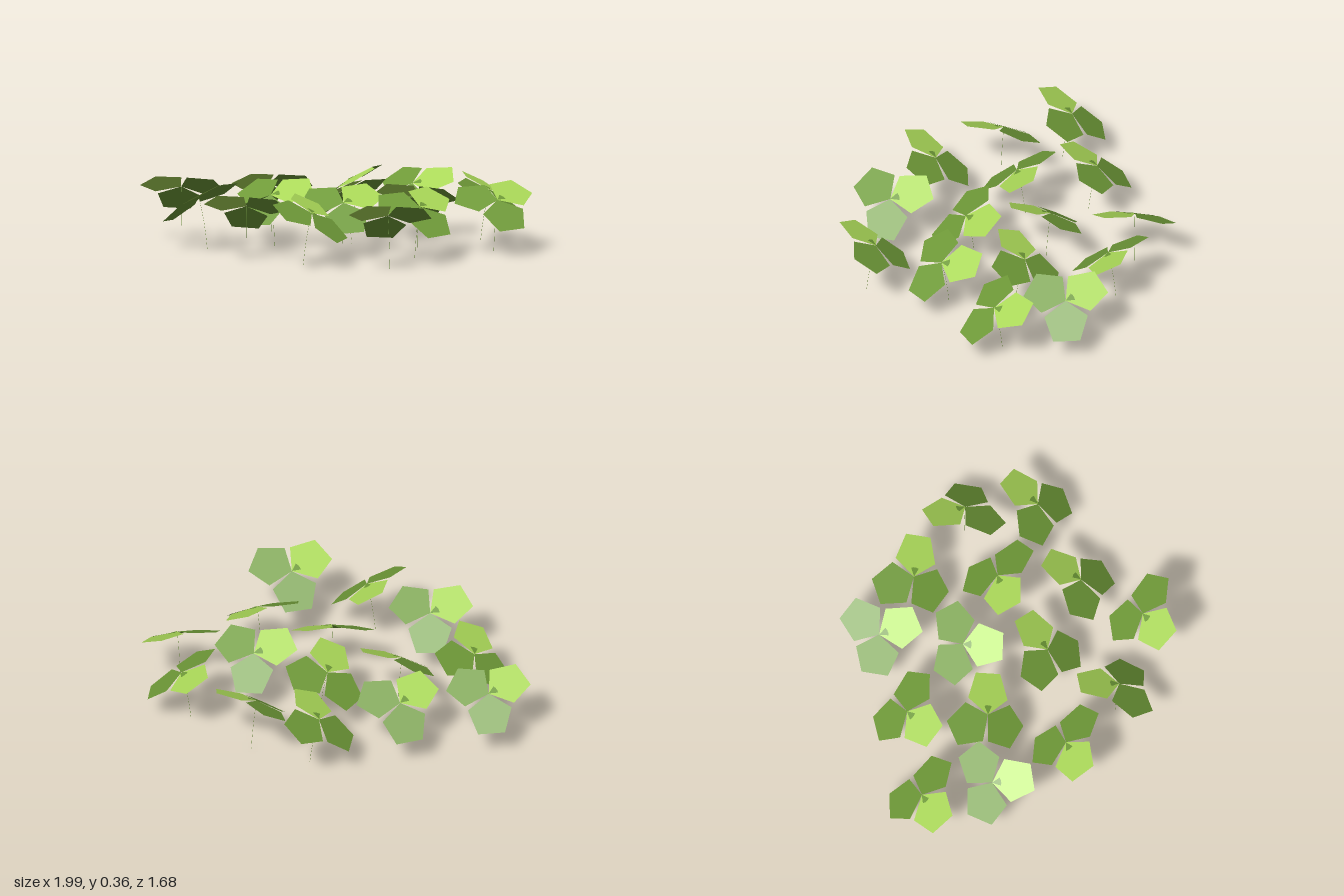
import * as THREE from 'three';

const rad = THREE.MathUtils.degToRad;
const LEAF_R = 0.122;                             // pentagon radius
const TILT = rad(32);                             // forward lean of each leaf head
const ROLL = rad(4);                              // slight sideways lean of the head
const DROOP = rad(7);                             // outward droop of each leaf
const HEIGHT = 0.28;                              // height of the leaf joint

// x, z of the leaf joint and the compass angle (degrees, x towards z) it leans to
const PLANTS = [
  [-0.315, -0.51, 148], [0.05, -0.60, 83], [0.525, -0.67, 325],
  [0.80, -0.40, 27], [0.36, -0.28, 240], [-0.53, -0.105, 214],
  [-0.05, -0.15, 175], [0.645, 0.06, 17], [0.235, 0.20, 41],
  [-0.25, 0.22, 77], [-0.82, 0.275, 226], [-0.515, 0.50, 163],
  [-0.08, 0.63, 232], [0.355, 0.61, 343], [0.73, 0.43, 219],
];

export function createModel() {
  const model = new THREE.Group();
  model.name = 'cloverPatch';

  const green = new THREE.MeshStandardMaterial({ color: 0x6f9a38, side: THREE.DoubleSide });
  green.name = 'leafGreen';
  const lime = new THREE.MeshStandardMaterial({ color: 0xaad858, side: THREE.DoubleSide });
  lime.name = 'lightLeafGreen';

  // Flat pentagon leaf with one corner on the joint, reaching out along +x
  const leafGeo = new THREE.CircleGeometry(LEAF_R, 5, Math.PI)
    .rotateX(-Math.PI / 2).translate(LEAF_R, 0, 0);

  // Small green wedge where the pale leaf meets the joint
  const wedgeGeo = new THREE.CircleGeometry(0.05, 3, -0.45, 0.9)
    .rotateX(-Math.PI / 2).translate(0, 0.003, 0);

  // Hair-thin stem bending towards the lean
  const stemGeo = new THREE.TubeGeometry(new THREE.QuadraticBezierCurve3(
    new THREE.Vector3(-0.05, 0, 0),
    new THREE.Vector3(-0.035, 0.16, 0),
    new THREE.Vector3(0, HEIGHT, 0)), 4, 0.0007, 3);

  const add = (parent, name, geo, mat, turn = 0, droop = 0) => {
    const mesh = new THREE.Mesh(geo, mat);
    mesh.name = name;
    mesh.rotation.set(0, -turn, -droop);
    parent.add(mesh);
  };

  for (const [x, z, lean] of PLANTS) {
    const clover = new THREE.Group();
    clover.name = 'clover';
    clover.position.set(x, 0, z);
    clover.rotation.y = -rad(lean);
    add(clover, 'stem', stemGeo, green);

    // Three drooping leaves on a leaning head
    const head = new THREE.Group();
    head.name = 'leafHead';
    head.position.y = HEIGHT;
    head.rotation.set(ROLL, 0, -TILT);
    const third = Math.PI * 2 / 3;
    add(head, 'lowerLeaf', leafGeo, green, 0, DROOP);
    add(head, 'upperLeaf', leafGeo, green, third, DROOP);
    add(head, 'paleLeaf', leafGeo, lime, -third, DROOP);
    add(head, 'leafJoint', wedgeGeo, green, -third, DROOP);
    clover.add(head);
    model.add(clover);
  }
  return model;
}
